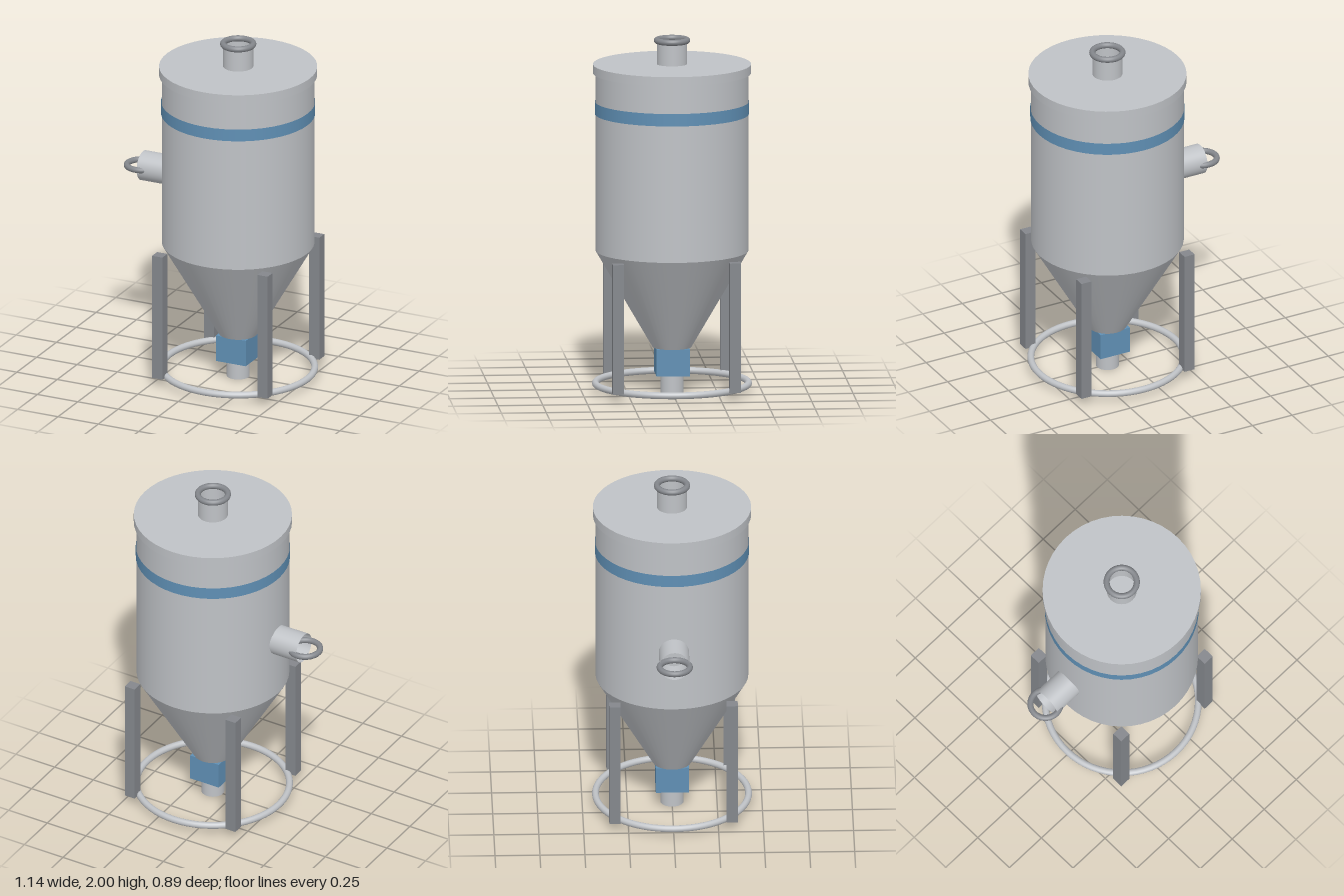
import * as THREE from 'three';

const AXIS_X = 0.125; // the vessel axis, offset to balance the side nozzle

export function createModel() {
  const model = new THREE.Group();
  model.name = 'hopperSilo';

  const material = (name, color, side = THREE.FrontSide) => {
    const m = new THREE.MeshStandardMaterial({ color, side });
    m.name = name;
    return m;
  };
  const steel = material('light steel', 0xbfc2c6, THREE.DoubleSide);
  const frame = material('dark grey steel', 0x84878c);
  const blue = material('blue paint', 0x5f8fb4, THREE.DoubleSide);

  const add = (name, geometry, mat, x, y, z = 0) => {
    const mesh = new THREE.Mesh(geometry, mat);
    mesh.name = name;
    mesh.position.set(x, y, z);
    model.add(mesh);
    return mesh;
  };
  const tube = (r, h, open = true) => new THREE.CylinderGeometry(r, r, h, 48, 1, open);
  const flatRing = (R, r) => new THREE.TorusGeometry(R, r, 14, 64).rotateX(Math.PI / 2);

  // Vessel: cylindrical shell, lid and conical hopper
  add('shell', tube(0.425, 1.0), steel, AXIS_X, 1.3);
  add('lid', tube(0.44, 0.05, false), steel, AXIS_X, 1.825);
  add('hopperCone', new THREE.CylinderGeometry(0.425, 0.108, 0.545, 48), steel, AXIS_X, 0.5275);
  add('paintedBand', tube(0.429, 0.07), blue, AXIS_X, 1.605);

  // Top inlet with a rolled rim
  add('topInlet', tube(0.084, 0.135), steel, AXIS_X, 1.9155);
  add('topInletRim', flatRing(0.084, 0.017), frame, AXIS_X, 1.983);

  // Side nozzle with a horizontal ring at its mouth
  add('sideNozzle', tube(0.084, 0.18).rotateZ(Math.PI / 2), steel, -0.373, 1.155);
  add('sideNozzleRing', flatRing(0.084, 0.017), frame, -0.471, 1.155);

  // Discharge valve and outlet pipe
  add('valveBox', new THREE.BoxGeometry(0.185, 0.152, 0.185), blue, AXIS_X, 0.179);
  add('outletPipe', tube(0.064, 0.105), steel, AXIS_X, 0.0525);

  // Four legs and the base ring that joins them
  for (const sx of [-1, 1]) {
    for (const sz of [-1, 1]) {
      add('leg', new THREE.BoxGeometry(0.063, 0.73, 0.063), frame,
        AXIS_X + sx * 0.326, 0.415, sz * 0.326);
    }
  }
  add('baseRing', flatRing(0.426, 0.019), steel, AXIS_X, 0.051);

  return model;
}
